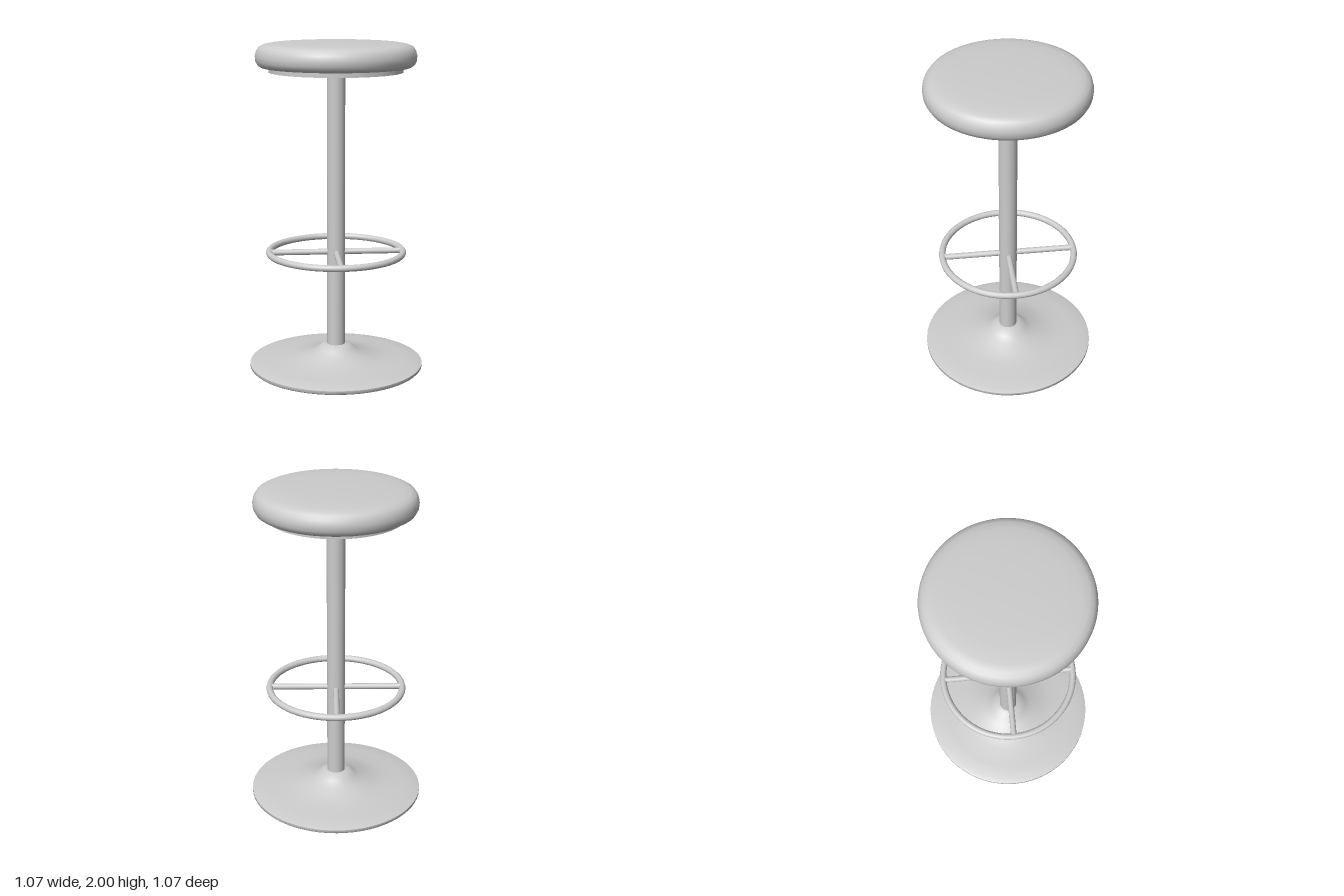
import * as THREE from 'three';
import { toCreasedNormals } from 'three/addons/utils/BufferGeometryUtils.js';

const SEGMENTS = 64;

// Turned solid from a bottom-to-top list of [radius, height]
function turned(profile) {
  const points = profile.map(([r, y]) => new THREE.Vector2(r, y));
  return toCreasedNormals(new THREE.LatheGeometry(points, SEGMENTS), 0.85);
}

export function createModel() {
  const stool = new THREE.Group();
  stool.name = 'barStool';

  const grey = new THREE.MeshStandardMaterial({ color: 0xcccccc });
  grey.name = 'light grey';

  function add(name, geometry, parent = stool) {
    const mesh = new THREE.Mesh(geometry, grey);
    mesh.name = name;
    parent.add(mesh);
    return mesh;
  }

  // Flared round foot
  add('base', turned([
    [0, 0], [0.525, 0], [0.533, 0.008], [0.533, 0.025], [0.505, 0.034],
    [0.42, 0.042], [0.31, 0.053], [0.155, 0.083], [0.115, 0.113],
    [0.078, 0.14], [0, 0.14],
  ]));

  // Central column
  const column = add('column', new THREE.CylinderGeometry(0.055, 0.055, 1.7, 32));
  column.position.y = 0.98;

  // Footrest ring with two crossed bars running through the column
  const footrest = new THREE.Group();
  footrest.name = 'footrest';
  footrest.position.y = 0.725;
  stool.add(footrest);

  const ring = add('footrestRing', new THREE.TorusGeometry(0.408, 0.02, 12, SEGMENTS), footrest);
  ring.rotation.x = Math.PI / 2;

  for (const side of [-1, 1]) {
    const bar = new THREE.CylinderGeometry(0.018, 0.018, 0.8, 16);
    bar.rotateZ(Math.PI / 2);
    add('footrestBar', bar, footrest).rotation.y = side * Math.PI / 4;
  }

  // Round plate carrying the cushion
  const plate = add('seatPlate', new THREE.CylinderGeometry(0.4, 0.4, 0.035, SEGMENTS));
  plate.position.y = 1.8375;

  // Padded cushion with a rounded side and gently domed top
  add('seatCushion', turned([
    [0, 1.85], [0.445, 1.85], [0.464, 1.862], [0.476, 1.885], [0.479, 1.915],
    [0.472, 1.945], [0.457, 1.968], [0.43, 1.981], [0.39, 1.988],
    [0.3, 1.994], [0.18, 1.998], [0, 2],
  ]));

  return stool;
}
